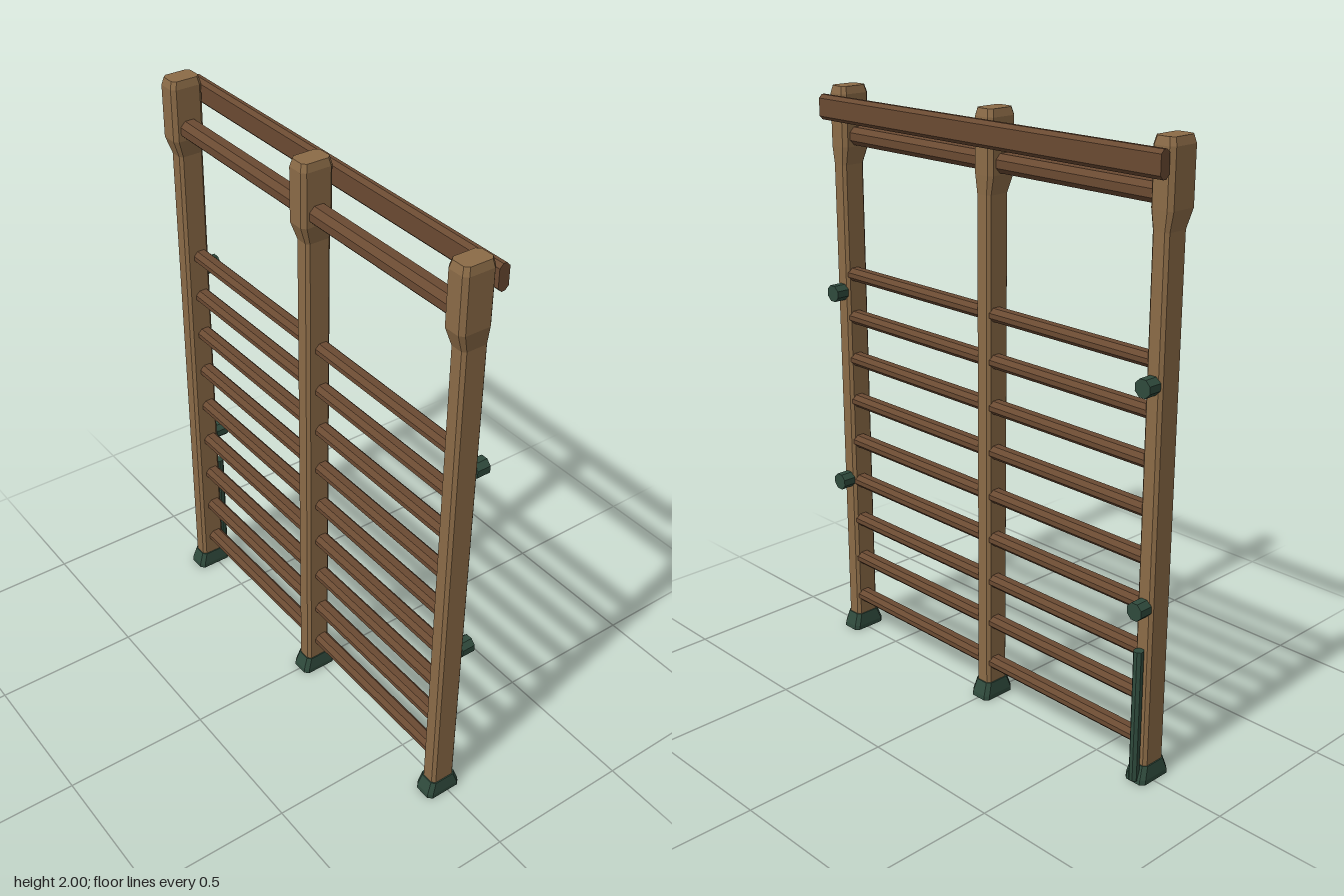
import * as THREE from 'three';

const mat = (name, color) => {
  const m = new THREE.MeshStandardMaterial({ color });
  m.name = name;
  return m;
};

// Rectangle with cut corners, counter-clockwise from a (min) to b (max)
function cutRect(a0, a1, b0, b1, c) {
  return [
    [a0 + c, b0], [a1 - c, b0], [a1, b0 + c], [a1, b1 - c],
    [a1 - c, b1], [a0 + c, b1], [a0, b1 - c], [a0, b0 + c],
  ];
}

// Flat-faced upright solid through cut-corner sections [y, halfX, zBack, zFront, cut]
function loft(sections) {
  const rings = sections.map(([y, h, z0, z1, c]) =>
    cutRect(-h, h, z0, z1, c).map(([x, z]) => [x, y, z]));
  const pos = [];
  const tri = (a, b, c) => pos.push(...a, ...b, ...c);
  const n = 8, last = rings[rings.length - 1], first = rings[0];
  for (let r = 0; r + 1 < rings.length; r++) {
    for (let i = 0; i < n; i++) {
      const j = (i + 1) % n, lo = rings[r], hi = rings[r + 1];
      tri(lo[i], hi[i], hi[j]);
      tri(lo[i], hi[j], lo[j]);
    }
  }
  for (let i = 1; i + 1 < n; i++) {
    tri(first[0], first[i], first[i + 1]);
    tri(last[0], last[i + 1], last[i]);
  }
  const g = new THREE.BufferGeometry();
  g.setAttribute('position', new THREE.Float32BufferAttribute(pos, 3));
  g.computeVertexNormals();
  return g;
}

// Horizontal bar along x with a cut-corner section, centred on the origin
function bar(length, height, depth, cut) {
  const pts = cutRect(-depth / 2, depth / 2, -height / 2, height / 2, cut)
    .map(([x, y]) => new THREE.Vector2(x, y));
  const g = new THREE.ExtrudeGeometry(new THREE.Shape(pts), { depth: length, bevelEnabled: false });
  return g.translate(0, 0, -length / 2).rotateY(Math.PI / 2);
}

export function createModel() {
  const group = new THREE.Group();
  const lightWood = mat('light wood', 0x8b6b47);
  const darkWood = mat('dark wood', 0x6a4a32);
  const green = mat('green rubber', 0x2f4a3c);

  const add = (name, geometry, material, x, y, z) => {
    const m = new THREE.Mesh(geometry, material);
    m.name = name;
    m.position.set(x, y, z);
    group.add(m);
  };

  // Posts with a thicker head, and flared feet
  const post = loft([
    [0.03, 0.03, -0.032, 0.056, 0.01],
    [1.74, 0.03, -0.032, 0.056, 0.01],
    [1.8, 0.04, -0.034, 0.077, 0.013],
    [1.975, 0.04, -0.034, 0.077, 0.013],
    [2.0, 0.034, -0.028, 0.07, 0.012],
  ]);
  const foot = loft([
    [0, 0.04, -0.053, 0.076, 0.013],
    [0.015, 0.04, -0.051, 0.075, 0.013],
    [0.058, 0.034, -0.036, 0.06, 0.012],
  ]);
  for (const x of [-0.7, 0, 0.7]) {
    add('post', post, lightWood, x, 0, 0);
    add('foot', foot, green, x, 0, 0);
  }

  // Rungs and upper rail in each bay between the posts
  const rung = bar(0.66, 0.044, 0.054, 0.014);
  const rail = bar(0.66, 0.06, 0.066, 0.017);
  for (const x of [-0.35, 0.35]) {
    for (let i = 0; i < 9; i++) add('rung', rung, darkWood, x, 0.133 + i * 0.1537, 0);
    add('upperRail', rail, darkWood, x, 1.836, 0.022);
  }

  // Long rail behind the heads
  add('backRail', bar(1.47, 0.083, 0.036, 0.012), darkWood, 0, 1.932, -0.059);

  // Wall spacers on the outer posts
  const spacer = new THREE.CylinderGeometry(0.03, 0.03, 0.047, 8)
    .rotateY(Math.PI / 8).rotateX(Math.PI / 2).toNonIndexed();
  spacer.computeVertexNormals();
  for (const x of [-0.7, 0.7]) {
    for (const y of [0.6, 1.3]) add('wallSpacer', spacer, green, x, y, -0.0535);
  }

  // Upright strip behind one outer post
  const strip = new THREE.CylinderGeometry(0.017, 0.017, 0.45, 8).rotateY(Math.PI / 8).toNonIndexed();
  strip.computeVertexNormals();
  add('backStrip', strip, green, -0.7, 0.235, -0.048);

  return group;
}
